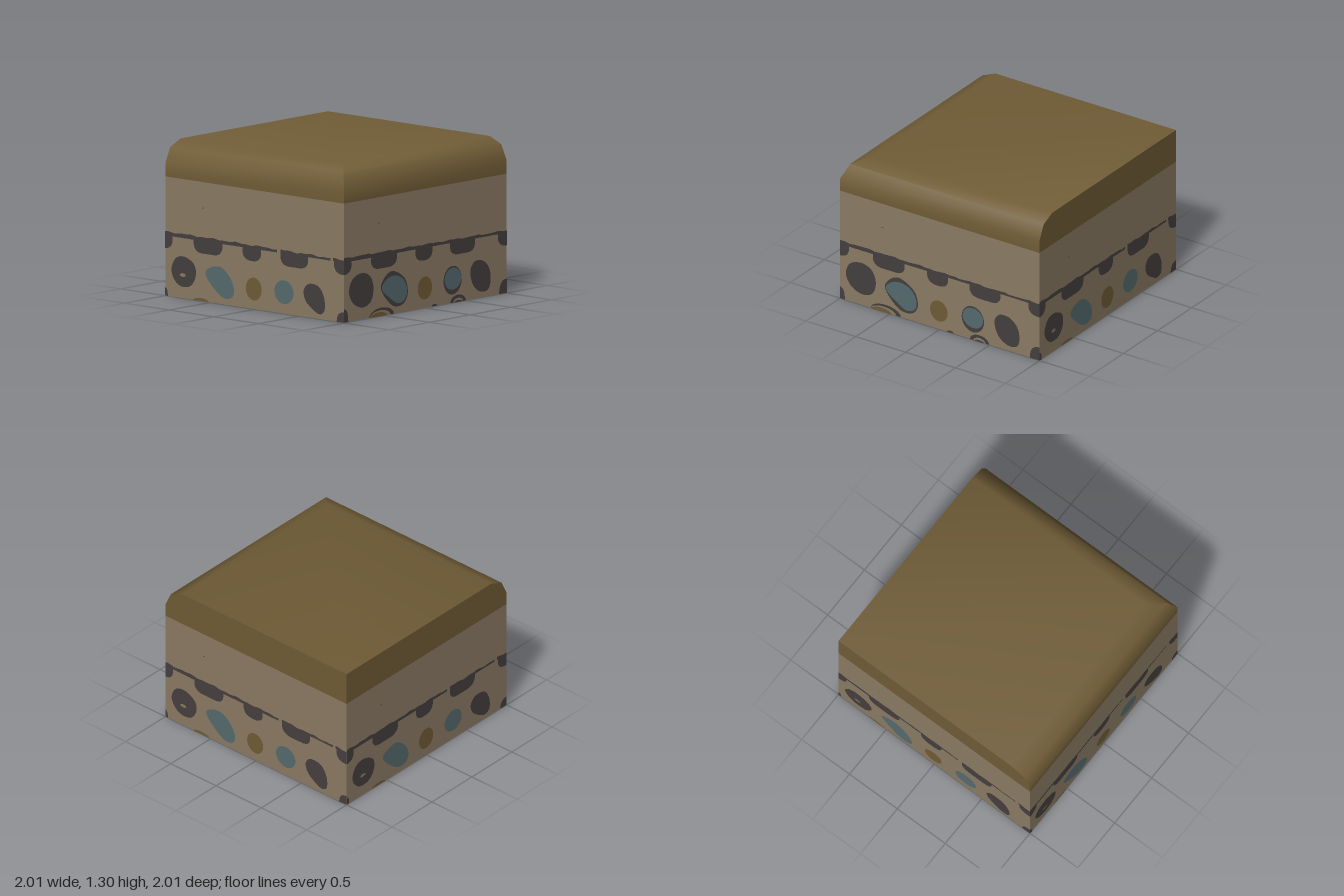
import * as THREE from 'three';
import { toCreasedNormals } from 'three/addons/utils/BufferGeometryUtils.js';

const mat = (name, color) => Object.assign(new THREE.MeshStandardMaterial({ color }), { name });

export function createModel() {
  const model = new THREE.Group();
  model.name = 'groundBlock';
  const soil = mat('soil', 0x8b7b64), grass = mat('grass', 0x705c36);
  const dark = mat('darkStone', 0x463f3f), teal = mat('tealStone', 0x566b6f);

  const add = (parent, name, geometry, material) => {
    const mesh = new THREE.Mesh(geometry, material);
    mesh.name = name;
    parent.add(mesh);
    return mesh;
  };

  // Soil body
  add(model, 'soilBody', new THREE.BoxGeometry(2, 1, 2).translate(0, 0.5, 0), soil);

  // Grass cap: square rings drawn in along the front and -x edges only
  const rings = [[0, 1], [0, 1.11], [0.06, 1.24], [0.19, 1.295]];
  const pos = [], idx = [];
  for (const [i, y] of rings) pos.push(-1 + i, y, 1 - i, 1, y, 1 - i, 1, y, -1, -1 + i, y, -1);
  for (let r = 0; r < rings.length - 1; r++) {
    for (let c = 0; c < 4; c++) {
      const a = r * 4 + c, b = r * 4 + (c + 1) % 4;
      idx.push(a, b, b + 4, a, b + 4, a + 4);
    }
  }
  idx.push(12, 13, 14, 12, 14, 15);
  const cap = new THREE.BufferGeometry();
  cap.setAttribute('position', new THREE.Float32BufferAttribute(pos, 3));
  cap.setIndex(idx);
  add(model, 'grassCap', toCreasedNormals(cap, 0.8), grass);

  // Painted shapes
  const blob = pts => {
    const curve = new THREE.CatmullRomCurve3(pts.map(p => new THREE.Vector3(p[0], p[1], 0)), true);
    return new THREE.Shape(curve.getPoints(40).slice(0, -1).map(p => new THREE.Vector2(p.x, p.y)));
  };
  const oval = (x, y, rx, ry) => new THREE.Shape().absellipse(x, y, rx, ry, 0, Math.PI * 2);
  const mound = (x, w, h) => new THREE.Shape().absellipse(x, 0, w, h, 0, Math.PI);
  const poly = pts => new THREE.Shape(pts.map(p => new THREE.Vector2(...p)));
  const corner = (side, w, h) => {
    const s = new THREE.Shape().moveTo(side, 0).lineTo(side, h);
    s.quadraticCurveTo(side * (1 - w), h, side * (1 - w), 0);
    return s;
  };
  // Stone hanging below the seam, cut off square where it meets a corner
  const hanging = (a, b) => {
    const s = new THREE.Shape().moveTo(b, 0.515).lineTo(a, 0.515);
    if (a <= -1) s.lineTo(a, 0.4);
    else s.lineTo(a, 0.47).quadraticCurveTo(a + 0.01, 0.4, a + 0.1, 0.4);
    if (b >= 1) s.lineTo(b, 0.4);
    else s.lineTo(Math.max(a, b - 0.1), 0.4).quadraticCurveTo(b - 0.01, 0.4, b, 0.47);
    return s;
  };
  // Thin wavering seam
  const seam = (a, b) => {
    const top = [], low = [];
    for (let i = 0; i <= 40; i++) {
      const x = a + (b - a) * i / 40;
      top.push([x, 0.533 - 0.008 * x + 0.004 * Math.sin(x * 23) + 0.003 * Math.sin(x * 51)]);
      low.unshift([x, 0.505]);
    }
    return poly([...top, ...low]);
  };

  const paint = (face, name, shapes, material, layer = 1) =>
    add(face, name, new THREE.ShapeGeometry(shapes, 20).translate(0, 0, 1 + 0.002 * layer), material);

  const makeFace = (name, angle) => {
    const face = new THREE.Group();
    face.name = name;
    face.rotation.y = angle;
    model.add(face);
    paint(face, 'speck', oval(-0.573, 0.782, 0.01, 0.004), dark);
    paint(face, 'ochreStone', oval(-0.008, 0.168, 0.088, 0.096), grass);
    return face;
  };

  // Front face
  const front = makeFace('frontFace', 0);
  paint(front, 'seam', seam(-1, 1), dark);
  paint(front, 'hangingStones', [hanging(-1, -0.91), hanging(-0.67, -0.35), hanging(-0.125, 0.085),
    hanging(0.3, 0.61), hanging(0.89, 1)], dark);
  paint(front, 'darkStones', [
    blob([[-0.94, 0.24], [-0.9, 0.35], [-0.78, 0.39], [-0.68, 0.35], [-0.64, 0.25], [-0.67, 0.14], [-0.76, 0.1], [-0.88, 0.14]]),
    blob([[0.55, 0.24], [0.6, 0.31], [0.7, 0.31], [0.78, 0.24], [0.8, 0.13], [0.77, 0.06], [0.68, 0.05], [0.59, 0.11]]),
  ], dark);
  paint(front, 'stoneRims', [
    blob([[-0.55, 0.24], [-0.5, 0.32], [-0.42, 0.36], [-0.32, 0.33], [-0.24, 0.26], [-0.22, 0.14], [-0.27, 0.07], [-0.38, 0.06], [-0.48, 0.13]]),
    oval(0.333, 0.19, 0.112, 0.12),
  ], dark);
  paint(front, 'tealStones', [
    blob([[-0.54, 0.23], [-0.48, 0.3], [-0.38, 0.32], [-0.28, 0.28], [-0.23, 0.19], [-0.25, 0.11], [-0.33, 0.08], [-0.43, 0.13]]),
    oval(0.335, 0.203, 0.103, 0.092),
  ], teal, 2);
  paint(front, 'cornerStones', [corner(-1, 0.05, 0.11), corner(1, 0.095, 0.12)], dark);
  paint(front, 'lowerArcs', [mound(-0.54, 0.15, 0.07), mound(0.4, 0.095, 0.06), mound(0.11, 0.035, 0.018)], dark);
  paint(front, 'lowerGaps', [mound(-0.56, 0.125, 0.05), mound(0.4, 0.06, 0.035)], soil, 2);
  paint(front, 'lowerOchre', mound(-0.58, 0.1, 0.036), grass, 3);
  paint(front, 'lowerSpeck', mound(0.4, 0.05, 0.015), dark, 3);

  // The other three sides share one pattern
  [['leftFace', Math.PI / 2], ['backFace', Math.PI], ['rightFace', -Math.PI / 2]].forEach(([name, angle]) => {
    const face = makeFace(name, angle);
    paint(face, 'seam', [seam(-1, 0.25), seam(0.29, 0.85), seam(0.88, 1)], dark);
    paint(face, 'hangingStones', [hanging(-1, -0.915), hanging(-0.68, -0.36), hanging(-0.135, 0.075),
      hanging(0.29, 0.6), hanging(0.89, 1)], dark);
    paint(face, 'darkStones', [
      blob([[-0.93, 0.23], [-0.88, 0.33], [-0.78, 0.35], [-0.67, 0.29], [-0.66, 0.19], [-0.72, 0.11], [-0.83, 0.1], [-0.9, 0.15]]),
      blob([[0.55, 0.22], [0.6, 0.28], [0.72, 0.27], [0.78, 0.18], [0.78, 0.07], [0.73, 0.04], [0.64, 0.08], [0.57, 0.14]]),
    ], dark);
    paint(face, 'stoneGap', oval(-0.8, 0.195, 0.032, 0.015), soil, 2);
    paint(face, 'tealStones', [
      blob([[-0.55, 0.24], [-0.5, 0.29], [-0.38, 0.31], [-0.28, 0.24], [-0.23, 0.14], [-0.25, 0.07], [-0.33, 0.05], [-0.44, 0.11]]),
      oval(0.33, 0.18, 0.107, 0.1),
    ], teal);
    paint(face, 'cornerStones', [corner(-1, 0.03, 0.07), corner(1, 0.08, 0.085)], dark);
    paint(face, 'lowerOchre', mound(-0.6, 0.085, 0.025), grass);
  });

  // Underside: two dark bands and small ochre streaks (local y runs along +z)
  const under = new THREE.Group();
  under.name = 'underside';
  under.rotation.x = Math.PI / 2;
  under.position.y = 1;
  model.add(under);
  const band = (z0, z1) => poly([[-1, z0], [1, z0 - 0.04], [1, z1 - 0.04], [0, z1 + 0.01], [-1, z1]]);
  paint(under, 'darkBands', [band(-0.96, -0.88), band(0.45, 0.54)], dark);
  paint(under, 'ochreStreaks', [oval(0.31, -0.24, 0.06, 0.012), oval(0.19, -0.23, 0.03, 0.01),
    oval(-0.32, -0.23, 0.04, 0.012)], grass);
  return model;
}
